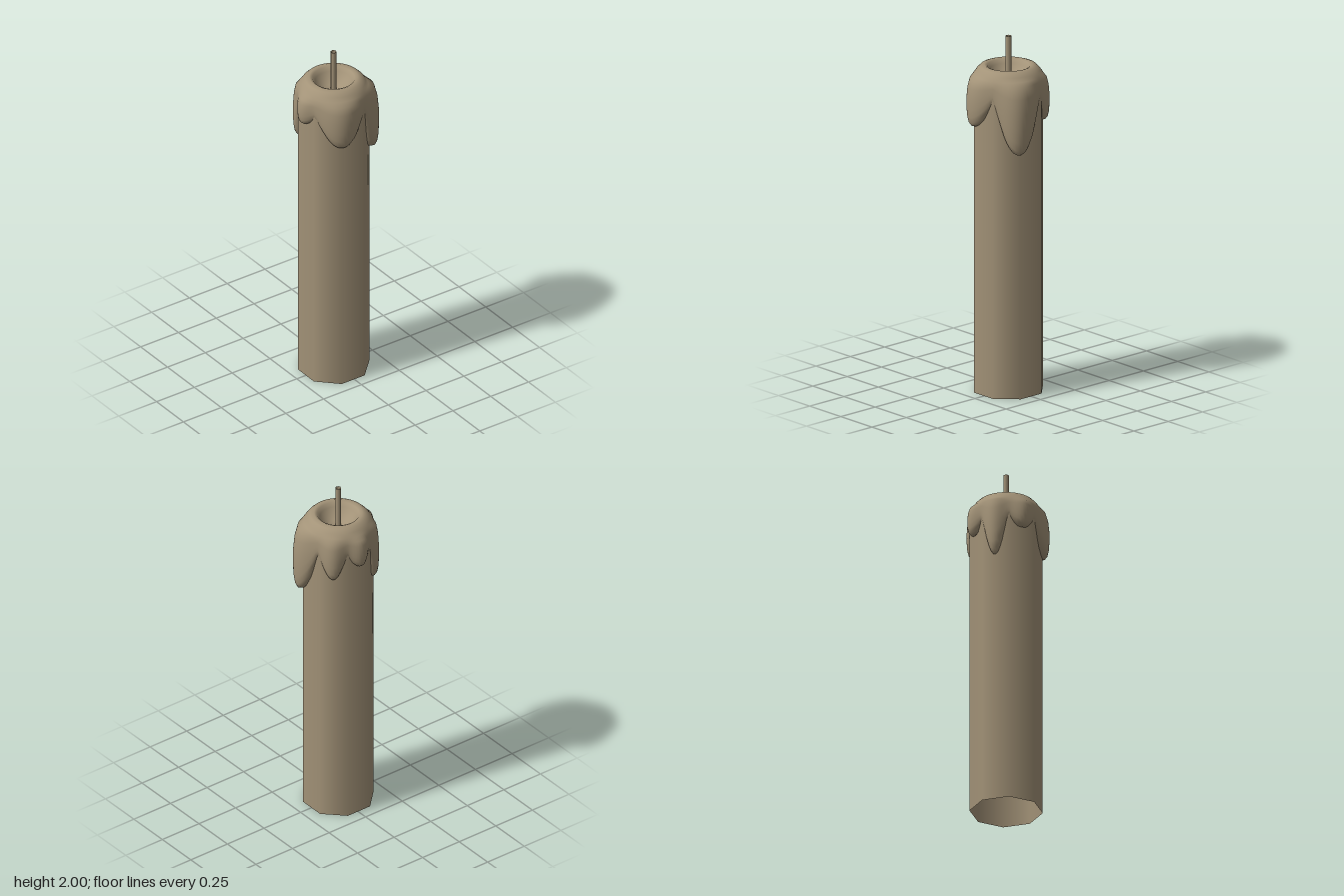
import * as THREE from 'three';

const CX = -0.007; // candle axis
const BASE_R = 0.2, BASE_Y = 1.67;

// Drips of wax: angle from +x towards +z, reach on either side (degrees), radius, lowest point
const DRIPS = [
  { a: 27, before: 45, after: 40, r: 0.247, y: 1.385 },
  { a: 112, before: 45, after: 44, r: 0.234, y: 1.51 },
  { a: 180, before: 24, after: 24, r: 0.226, y: 1.615 },
  { a: 226, before: 22, after: 23, r: 0.222, y: 1.45 },
  { a: 271, before: 22, after: 22, r: 0.228, y: 1.6 },
  { a: 316, before: 23, after: 26, r: 0.222, y: 1.53 },
];

// Outer radius and lower edge of the melted wax at an angle
function waxEdge(deg) {
  let r = BASE_R, y = BASE_Y;
  for (const d of DRIPS) {
    const off = ((deg - d.a + 540) % 360) - 180;
    const t = Math.abs(off) / (off < 0 ? d.before : d.after);
    if (t >= 1) continue;
    const w = 0.5 + 0.5 * Math.cos(Math.PI * t);
    r += (d.r - BASE_R) * w;
    y += (d.y - BASE_Y) * Math.pow(w, 0.5);
  }
  return { r, y };
}

// Cross-section from the wick hole, over the rim, down to the tip of the drip
function waxProfile(deg) {
  const { r, y } = waxEdge(deg);
  const down = (f) => 1.77 + (y - 1.77) * f;
  return [
    [0.015, 1.75], [0.05, 1.76], [0.08, 1.782], [0.1, 1.812], [0.114, 1.833], [0.13, 1.84],
    [0.152, 1.832], [0.172, 1.812], [0.187, 1.79], [0.19 + (r - 0.19) * 0.55, 1.77],
    [0.19 + (r - 0.19) * 0.85, down(0.17)], [r, down(0.4)], [r, down(0.62)],
    [r - 0.003, down(0.8)], [r - 0.01, down(0.92)], [r - 0.022, down(0.985)],
    [Math.min(r - 0.035, 0.195), y], [0.175, y + 0.012],
  ];
}

function waxGeometry(columns = 96) {
  const pos = [], index = [];
  let n = 0;
  for (let i = 0; i < columns; i++) {
    const deg = (i / columns) * 360, a = THREE.MathUtils.degToRad(deg);
    const profile = waxProfile(deg);
    n = profile.length;
    for (const [r, y] of profile) pos.push(r * Math.cos(a), y, r * Math.sin(a));
  }
  for (let i = 0; i < columns; i++) {
    const p = i * n, q = ((i + 1) % columns) * n;
    for (let j = 0; j < n - 1; j++) {
      index.push(p + j, q + j, p + j + 1, q + j, q + j + 1, p + j + 1);
    }
  }
  const g = new THREE.BufferGeometry();
  g.setAttribute('position', new THREE.Float32BufferAttribute(pos, 3));
  g.setIndex(index);
  g.computeVertexNormals();
  return g;
}

export function createModel() {
  const group = new THREE.Group();
  group.name = 'candle';
  const wax = new THREE.MeshStandardMaterial({ color: 0xa39378, side: THREE.DoubleSide });

  const add = (name, geometry) => {
    const mesh = new THREE.Mesh(geometry, wax);
    mesh.name = name;
    mesh.position.x = CX;
    group.add(mesh);
  };

  // Eight-sided open shaft with flats facing the axes
  const shaft = new THREE.CylinderGeometry(0.198, 0.198, 1.74, 8, 1, true);
  shaft.rotateY(Math.PI / 8).translate(0, 0.87, 0);
  add('shaft', shaft);

  // Melted top with drips
  add('meltedWax', waxGeometry());

  // Hollow wick
  const wick = new THREE.CylinderGeometry(0.0155, 0.0155, 0.26, 8, 1, true);
  wick.translate(0, 1.87, 0);
  add('wick', wick);

  return group;
}
